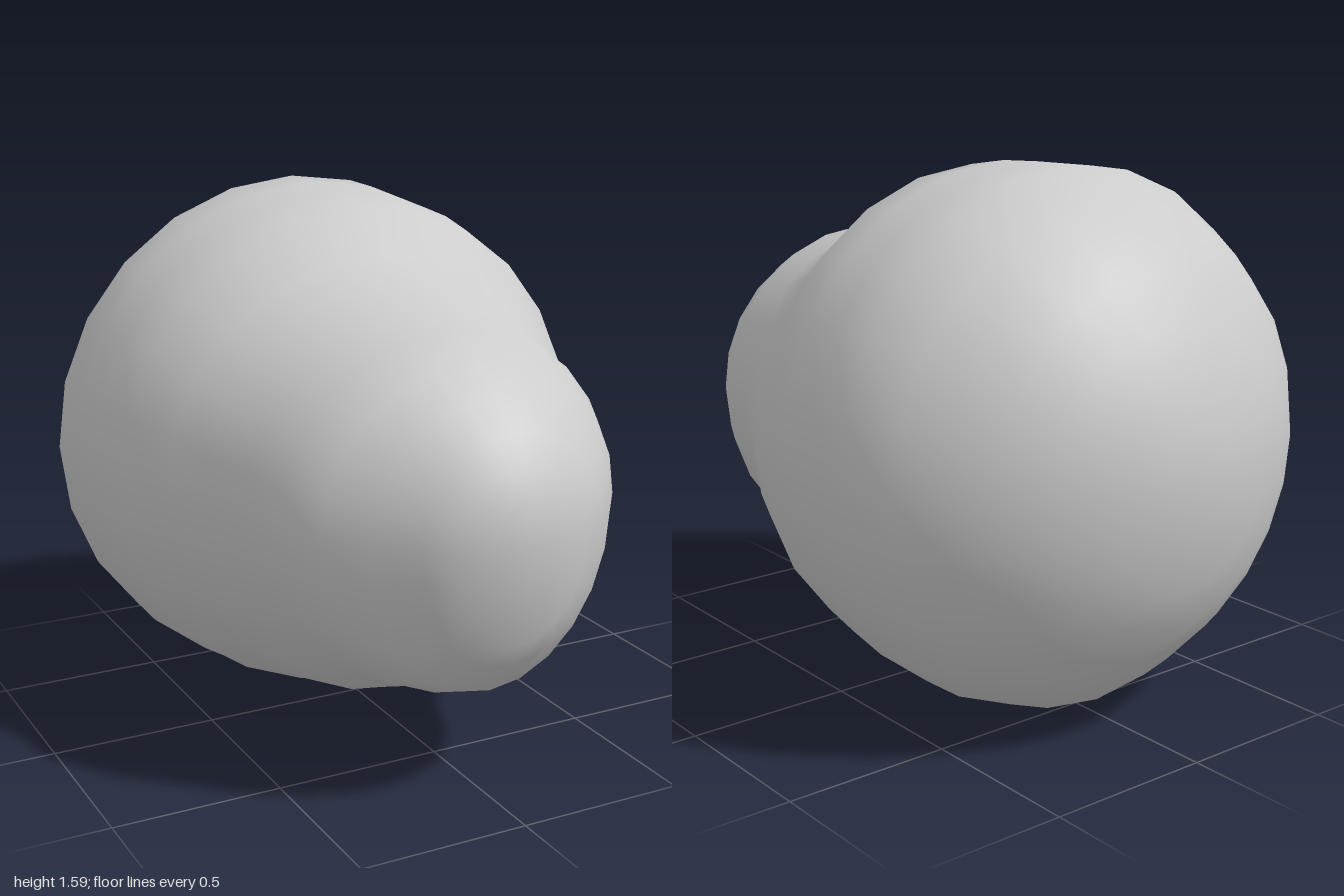
import * as THREE from 'three';

const SIDES = 24;
const CENTRE_Y = 0.8;

// Cross-sections from front to back: z, then reach up, down, to -x and to +x
const SECTIONS = [
  [0.985, 0.12, 0.14, 0.11, 0.11],
  [0.95, 0.2, 0.29, 0.2, 0.2],
  [0.9, 0.28, 0.37, 0.27, 0.28],
  [0.8, 0.36, 0.48, 0.37, 0.38],
  [0.71, 0.435, 0.515, 0.475, 0.45],
  [0.59, 0.495, 0.54, 0.555, 0.51],
  [0.45, 0.51, 0.6, 0.575, 0.53],
  [0.29, 0.57, 0.67, 0.64, 0.61],
  [0.15, 0.63, 0.69, 0.68, 0.69],
  [0, 0.75, 0.745, 0.76, 0.755],
  [-0.15, 0.775, 0.765, 0.785, 0.785],
  [-0.3, 0.785, 0.798, 0.795, 0.795],
  [-0.45, 0.787, 0.79, 0.8, 0.8],
  [-0.59, 0.71, 0.755, 0.73, 0.73],
  [-0.7, 0.64, 0.66, 0.66, 0.65],
  [-0.8, 0.54, 0.56, 0.55, 0.55],
  [-0.89, 0.4, 0.45, 0.42, 0.42],
  [-0.95, 0.27, 0.31, 0.28, 0.28],
  [-0.985, 0.14, 0.16, 0.15, 0.15],
];

// Loft the sections into one closed skin with a single point at each end
function loftBody() {
  const points = [0, CENTRE_Y, 1];
  const faces = [];
  for (const [z, up, down, minusX, plusX] of SECTIONS) {
    for (let j = 0; j < SIDES; j++) {
      const a = (j / SIDES) * Math.PI * 2;
      const c = Math.cos(a);
      const s = Math.sin(a);
      points.push(c * (c > 0 ? plusX : minusX), CENTRE_Y + s * (s > 0 ? up : down), z);
    }
  }
  points.push(0, CENTRE_Y, -1);

  const last = SECTIONS.length - 1;
  const backTip = points.length / 3 - 1;
  const at = (row, j) => 1 + row * SIDES + (j % SIDES);
  for (let j = 0; j < SIDES; j++) {
    faces.push(0, at(0, j), at(0, j + 1));
    for (let row = 0; row < last; row++) {
      const a = at(row, j);
      const b = at(row, j + 1);
      const c = at(row + 1, j);
      const d = at(row + 1, j + 1);
      faces.push(a, c, b, b, c, d);
    }
    faces.push(backTip, at(last, j + 1), at(last, j));
  }

  const geometry = new THREE.BufferGeometry();
  geometry.setAttribute('position', new THREE.Float32BufferAttribute(points, 3));
  geometry.setIndex(faces);
  geometry.computeVertexNormals();
  return geometry;
}

export function createModel() {
  const model = new THREE.Group();
  model.name = 'roundedPod';
  const body = new THREE.Mesh(loftBody(), new THREE.MeshStandardMaterial({ color: 0xcccccc }));
  body.name = 'body';
  model.add(body);
  return model;
}
